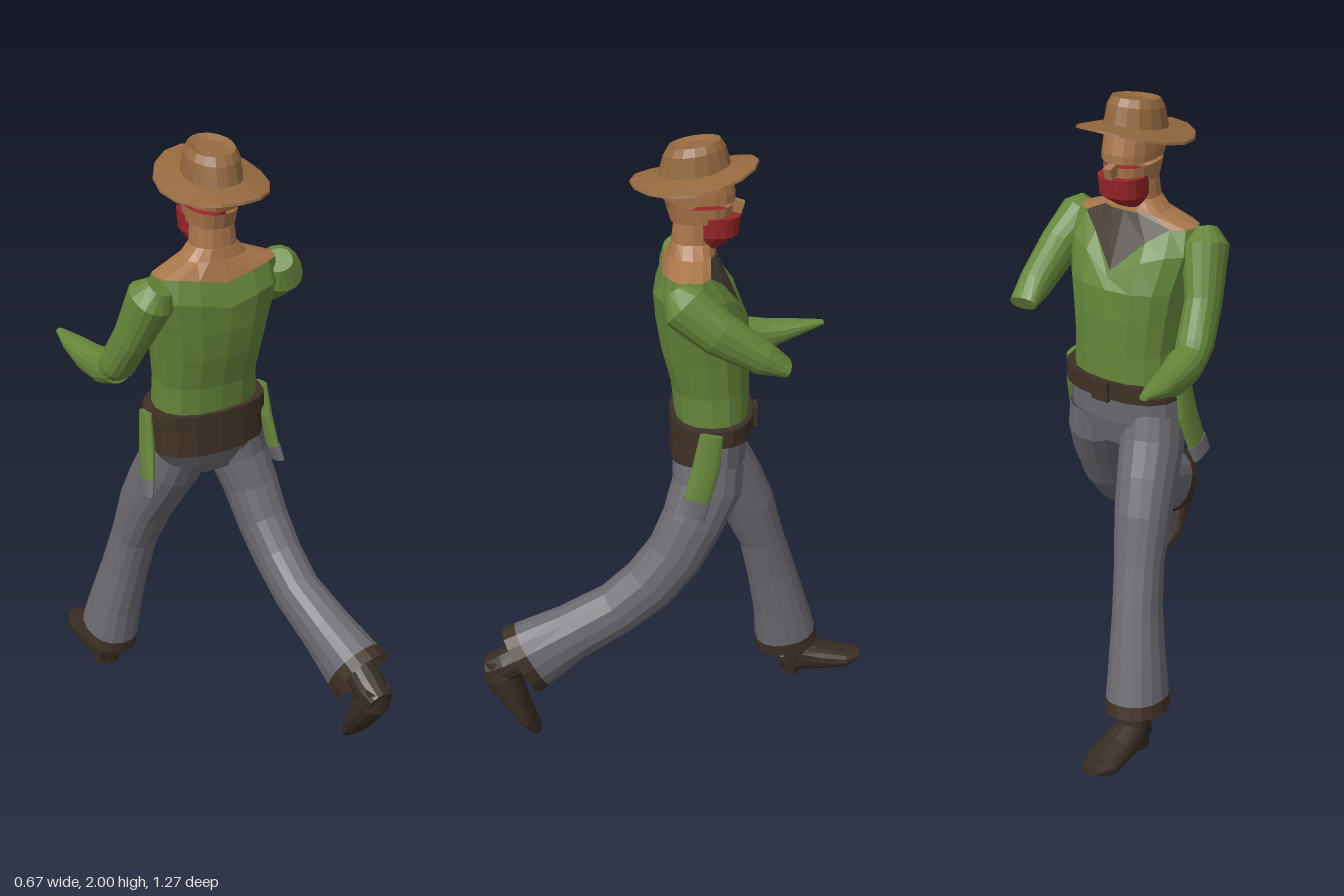
import * as THREE from 'three';

const mat = (name, color) => {
  const m = new THREE.MeshStandardMaterial({ color, side: THREE.DoubleSide });
  m.name = name;
  return m;
};

const N = 16;
const soft = (v, p) => Math.sign(v) * Math.pow(Math.abs(v), p);

// Horizontal cross-section; index 4 is the back, index 12 the chest side
function ring(x, y, z, rx, rz, p = 0.85) {
  return Array.from({ length: N }, (_, j) => {
    const a = (j / N) * Math.PI * 2;
    return new THREE.Vector3(x + rx * soft(Math.cos(a), p), y, z + rz * soft(Math.sin(a), p));
  });
}

// Cross-sections square to a path of [x, y, z, halfWidth, halfDepth]
function pathRings(pts) {
  const P = pts.map(p => new THREE.Vector3(p[0], p[1], p[2]));
  return pts.map((p, i) => {
    const t = P[Math.min(i + 1, P.length - 1)].clone().sub(P[Math.max(i - 1, 0)]).normalize();
    const s = new THREE.Vector3(1, 0, 0).addScaledVector(t, -t.x).normalize();
    const b = s.clone().cross(t);
    return Array.from({ length: N }, (_, j) => {
      const a = (j / N) * Math.PI * 2;
      return P[i].clone().addScaledVector(s, p[3] * soft(Math.cos(a), 0.9))
        .addScaledVector(b, (p[4] ?? p[3]) * soft(Math.sin(a), 0.9));
    });
  });
}

// Faceted skin over cross-sections, between two column indices
function skin(rings, from = 0, to = N) {
  const pos = [];
  for (let i = 0; i < rings.length - 1; i++) {
    for (let j = from; j < to; j++) {
      const k = (j + 1) % N, m = j % N;
      const a = rings[i][m], b = rings[i + 1][m], c = rings[i + 1][k], d = rings[i][k];
      for (const v of [a, b, c, a, c, d]) pos.push(v.x, v.y, v.z);
    }
  }
  const g = new THREE.BufferGeometry();
  g.setAttribute('position', new THREE.Float32BufferAttribute(pos, 3));
  g.computeVertexNormals();
  return g;
}

// Close both ends of a stack of cross-sections
function capped(rings) {
  const mid = r => {
    const c = r.reduce((s, v) => s.add(v), new THREE.Vector3()).divideScalar(N);
    return r.map(() => c.clone());
  };
  return [mid(rings[0]), ...rings, mid(rings[rings.length - 1])];
}

export function createModel() {
  const model = new THREE.Group();
  model.name = 'stridingMan';
  const M = {
    shirt: mat('shirt green', 0x66853a),
    skin: mat('tan skin', 0xa8754a),
    hat: mat('hat brown', 0x94693f),
    pants: mat('trouser grey', 0x6a6a70),
    belt: mat('belt brown', 0x3e3025),
    shoe: mat('shoe dark brown', 0x362c22),
    scarf: mat('scarf red', 0x982428),
    chest: mat('undershirt dark', 0x484038),
  };
  const add = (name, geo, m) => {
    const mesh = new THREE.Mesh(geo, m);
    mesh.name = name;
    model.add(mesh);
    return mesh;
  };
  const box = (name, m, size, at, rx = 0) => {
    const b = add(name, new THREE.BoxGeometry(...size), m);
    b.position.set(...at);
    b.rotation.x = rx;
    return b;
  };

  // Shirt with a V-shaped neckline
  const dip = (r, depth, push) => {
    for (const v of r) {
      const t = Math.max(0, 1 - Math.abs(v.x) / 0.13);
      if (v.z < -0.02) { v.y -= depth * t; v.z -= push * t; }
      else v.y -= 0.03 * t;
    }
    return r;
  };
  const neckline = dip(ring(0, 1.63, -0.02, 0.2, 0.082), 0.13, 0.07);
  const shirt = [
    ring(0, 1.15, -0.09, 0.17, 0.115),
    ring(0, 1.25, -0.085, 0.165, 0.12),
    ring(0, 1.36, -0.07, 0.178, 0.135),
    ring(0, 1.45, -0.06, 0.192, 0.14),
    dip(ring(0, 1.56, -0.035, 0.215, 0.122), 0.08, 0.025),
    neckline,
  ];
  add('shirt', skin(shirt), M.shirt);

  // Shoulders, open chest and neck
  const neckBase = ring(0, 1.665, -0.03, 0.105, 0.07);
  add('shoulderSkin', skin([neckline, neckBase], 14, 26), M.skin);
  add('openChest', skin([neckline, neckBase], 10, 14), M.chest);
  add('neck', skin([neckBase, ring(0, 1.7, -0.03, 0.07, 0.062), ring(0, 1.765, -0.035, 0.064, 0.06)]), M.skin);

  // Head in bands with narrow gaps, and the face scarf
  add('lowerHead', skin([ring(0, 1.76, -0.055, 0.068, 0.09), ring(0, 1.808, -0.05, 0.073, 0.1)]), M.skin);
  add('upperHead', skin([ring(0, 1.82, -0.05, 0.075, 0.105), ring(0, 1.845, -0.045, 0.076, 0.11),
    ring(0, 1.9, -0.04, 0.074, 0.1)]), M.skin);
  box('nose', M.skin, [0.026, 0.035, 0.035], [0, 1.8, -0.16], -0.3);
  add('scarf', skin(capped([ring(0, 1.68, -0.07, 0.045, 0.035), ring(0, 1.72, -0.095, 0.068, 0.07),
    ring(0, 1.778, -0.1, 0.071, 0.072)])), M.scarf);

  // Hat, tipped up at the face and drooping at the sides
  const hatRings = [
    ring(0, 1.9, -0.035, 0.08, 0.1, 1),
    ring(0, 1.9, -0.035, 0.166, 0.187, 1),
    ring(0, 1.907, -0.035, 0.164, 0.185, 1),
    ring(0, 1.912, -0.035, 0.088, 0.105, 1),
    ring(0, 1.965, -0.035, 0.08, 0.09, 1),
    ring(0, 1.988, -0.035, 0.068, 0.076, 1),
    ring(0, 1.978, -0.035, 0.045, 0.055, 1),
    ring(0, 1.978, -0.035, 0, 0, 1),
  ];
  for (const v of hatRings.flat()) v.y -= 0.16 * (v.z + 0.035) + 0.9 * v.x * v.x * (v.y < 1.95 ? 1 : 0);
  add('hat', skin(hatRings), M.hat);

  // Arms
  const arm = (name, pts) => add(name, skin(capped(pathRings(pts))), M.shirt);
  arm('leftArm', [[0.2, 1.615, 0.02, 0.04], [0.218, 1.575, -0.005, 0.068, 0.075], [0.24, 1.5, -0.1, 0.057, 0.066],
    [0.235, 1.42, -0.23, 0.05], [0.225, 1.385, -0.3, 0.044, 0.025]]);
  arm('rightUpperArm', [[-0.2, 1.615, 0.02, 0.04], [-0.218, 1.575, 0, 0.068, 0.075], [-0.255, 1.43, -0.06, 0.052, 0.062],
    [-0.272, 1.32, -0.13, 0.055], [-0.278, 1.265, -0.18, 0.045, 0.035]]);
  arm('rightForearm', [[-0.275, 1.3, -0.13, 0.045], [-0.28, 1.28, -0.2, 0.054], [-0.295, 1.275, -0.29, 0.046],
    [-0.31, 1.29, -0.38, 0.035, 0.025], [-0.32, 1.302, -0.46, 0.012, 0.008]]);

  // Belt, buckle and hips
  add('belt', skin(capped([ring(0, 1.105, -0.09, 0.2, 0.132), ring(0, 1.16, -0.09, 0.198, 0.13)])), M.belt);
  box('buckle', M.belt, [0.06, 0.065, 0.012], [0, 1.132, -0.226]);
  const hipTop = ring(0, 1.11, -0.085, 0.185, 0.12);
  const hipMid = ring(0, 1.02, -0.08, 0.192, 0.12);
  add('hipBack', skin([hipMid, hipTop], 0, 8), M.belt);
  add('hipFront', skin([hipMid, hipTop], 8, 16), M.pants);
  add('hipLower', skin(capped([ring(0, 0.935, -0.09, 0.13, 0.09), hipMid])), M.pants);

  // Holsters on both hips
  for (const s of [1, -1]) {
    const holster = (name, m, pts) =>
      add(name, skin(capped(pathRings(pts.map(p => [s * p[0], ...p.slice(1)])))), m);
    holster('holster', M.shirt, [[0.205, 1.155, -0.085, 0.012, 0.035], [0.21, 1.05, -0.07, 0.018, 0.042],
      [0.225, 0.94, -0.04, 0.015, 0.04]]);
    holster('holsterTip', M.pants, [[0.225, 0.945, -0.04, 0.017, 0.044], [0.237, 0.895, -0.025, 0.012, 0.042]]);
  }

  // Legs: trousers, then a dark cuff round the last stretch
  const leg = (name, pts, cuff) => {
    const r = pathRings(pts);
    const end = r[r.length - 1], prev = r[r.length - 2];
    const seam = end.map((v, i) => v.clone().lerp(prev[i], cuff));
    add(name + 'Trouser', skin([...r.slice(0, -1), seam]), M.pants);
    add(name + 'Cuff', skin([seam, end, end.map(v => v.clone().lerp(prev[0].clone().add(prev[8]).multiplyScalar(0.5), 0.3))]), M.belt);
  };
  leg('leftLeg', [[0.1, 1.02, -0.08, 0.09, 0.11], [0.112, 0.94, -0.075, 0.092, 0.11], [0.14, 0.83, -0.03, 0.085, 0.098],
    [0.155, 0.72, 0.025, 0.08, 0.092], [0.168, 0.62, 0.105, 0.075, 0.09], [0.18, 0.535, 0.21, 0.074, 0.085],
    [0.205, 0.465, 0.35, 0.082, 0.09], [0.235, 0.378, 0.515, 0.095, 0.12]], 0.22);
  leg('rightLeg', [[-0.1, 1.02, -0.08, 0.09, 0.11], [-0.11, 0.94, -0.11, 0.095, 0.105], [-0.13, 0.84, -0.165, 0.09, 0.1],
    [-0.148, 0.74, -0.215, 0.086, 0.09], [-0.168, 0.6, -0.265, 0.076, 0.075], [-0.19, 0.45, -0.305, 0.075, 0.082],
    [-0.213, 0.3, -0.34, 0.085, 0.092], [-0.235, 0.14, -0.37, 0.095, 0.11]], 0.26);

  // Shoes: an ankle and a foot tapering to the toe
  const shoe = (name, pts) => add(name, skin(capped(pathRings(pts))), M.shoe);
  shoe('rightAnkle', [[-0.235, 0.18, -0.385, 0.05, 0.05], [-0.238, 0.09, -0.4, 0.052, 0.052], [-0.24, 0.008, -0.385, 0.042, 0.034]]);
  shoe('rightFoot', [[-0.239, 0.06, -0.35, 0.04, 0.04], [-0.24, 0.07, -0.42, 0.053, 0.058], [-0.242, 0.062, -0.5, 0.058, 0.042],
    [-0.243, 0.058, -0.58, 0.058, 0.03], [-0.243, 0.068, -0.632, 0.028, 0.015]]);
  shoe('leftAnkle', [[0.235, 0.4, 0.49, 0.05, 0.055], [0.238, 0.365, 0.56, 0.055, 0.055], [0.24, 0.345, 0.62, 0.042, 0.038]]);
  shoe('leftFoot', [[0.24, 0.39, 0.6, 0.04, 0.03], [0.24, 0.33, 0.578, 0.055, 0.058], [0.242, 0.25, 0.54, 0.06, 0.042],
    [0.243, 0.17, 0.502, 0.06, 0.026], [0.243, 0.115, 0.468, 0.03, 0.012]]);

  return model;
}
